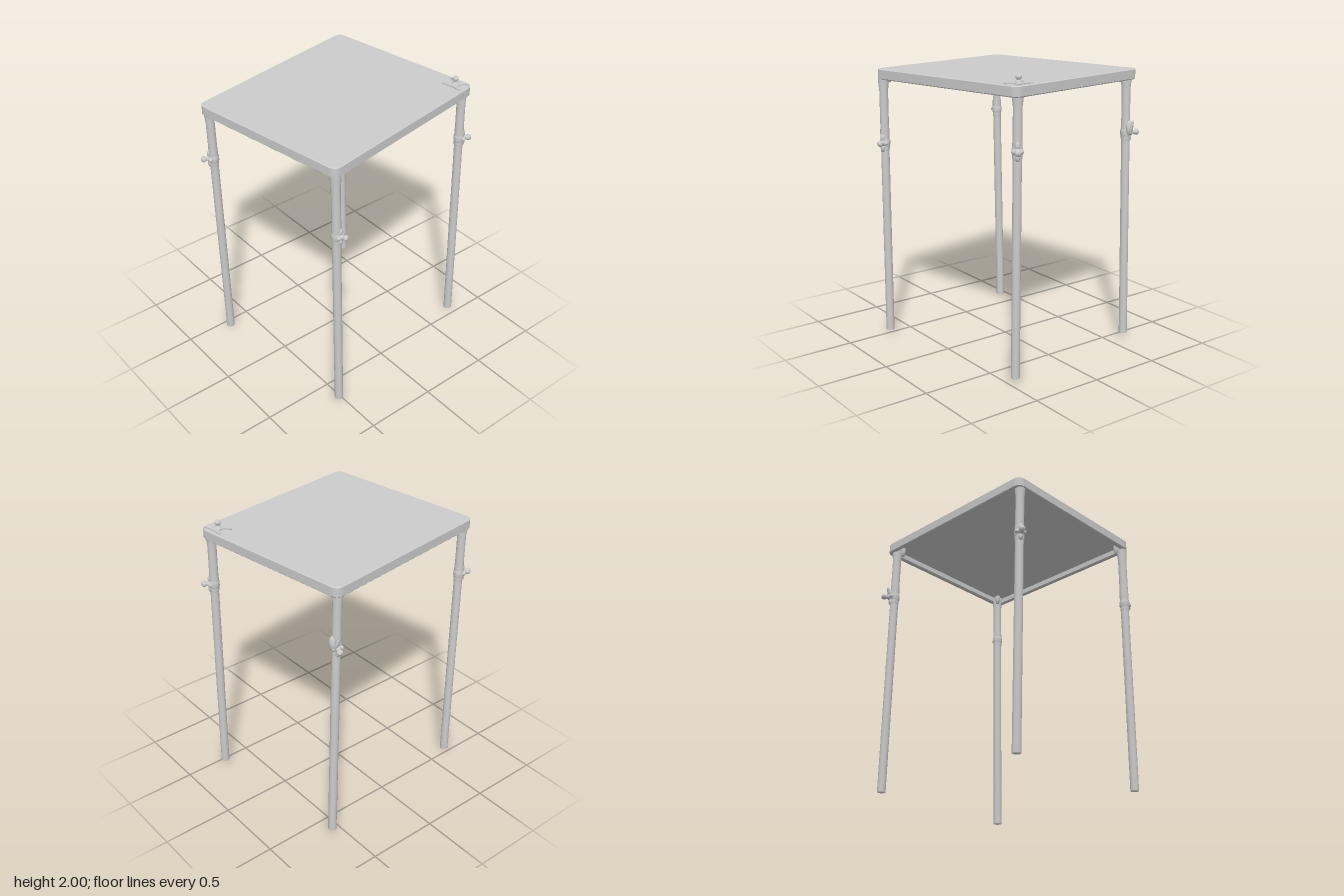
import * as THREE from 'three';
import { toCreasedNormals } from 'three/addons/utils/BufferGeometryUtils.js';

const V = (x, y, z) => new THREE.Vector3(x, y, z);
const UP = V(0, 1, 0);

// Table corners (x, z) and the leg below each one
const legs = [
  { name: 'backLeftLeg', corner: [0.482, -0.758], top: [0.432, -0.706], foot: [0.452, 0.035, -0.715], knob: [0.472, 1.535, -0.762] },
  { name: 'backRightLeg', corner: [-0.695, -0.575], top: [-0.633, -0.522], foot: [-0.633, 0.035, -0.57], knob: [-0.703, 1.495, -0.562], wing: true },
  { name: 'frontRightLeg', corner: [-0.49, 0.762], top: [-0.445, 0.712], foot: [-0.453, 0, 0.672], knob: [-0.472, 1.5, 0.765] },
  { name: 'frontLeftLeg', corner: [0.685, 0.573], top: [0.642, 0.538], foot: [0.657, 0.018, 0.522], knob: [0.7, 1.405, 0.507] },
];

// Slight slope of the table top
const tilt = (x, z) => 0.004 * x - 0.018 * z;

// Outline of the table top, shrunk by inset, with rounded corners
function outline(inset, r, Type) {
  const k = 1 - inset / 0.66;
  const pts = legs.map((l) => new THREE.Vector2(l.corner[0] * k, -l.corner[1] * k));
  const s = new Type();
  pts.forEach((p, i) => {
    const prev = pts[(i + 3) % 4], next = pts[(i + 1) % 4];
    const a = p.clone().add(prev.clone().sub(p).setLength(r));
    const b = p.clone().add(next.clone().sub(p).setLength(r));
    if (i === 0) s.moveTo(a.x, a.y); else s.lineTo(a.x, a.y);
    s.quadraticCurveTo(p.x, p.y, b.x, b.y);
  });
  s.closePath();
  return s;
}

// Horizontal slab from y0 to y1 with small chamfers, following the slope
function slab(shape, y0, y1, bevel) {
  const g = new THREE.ExtrudeGeometry(shape, {
    depth: y1 - y0 - 2 * bevel, bevelSize: bevel, bevelThickness: bevel,
    bevelOffset: -bevel, bevelSegments: 1, curveSegments: 8,
  });
  g.rotateX(-Math.PI / 2);
  g.translate(0, y0 + bevel, 0);
  const p = g.attributes.position;
  for (let i = 0; i < p.count; i++) p.setY(i, p.getY(i) + tilt(p.getX(i), p.getZ(i)));
  return toCreasedNormals(g, 0.6);
}

export function createModel() {
  const root = new THREE.Group();
  const grey = new THREE.MeshStandardMaterial({ color: 0xcccccc });
  grey.name = 'plain grey';

  const add = (parent, name, geo, pos) => {
    const m = new THREE.Mesh(geo, grey);
    m.name = name;
    if (pos) m.position.copy(pos);
    parent.add(m);
    return m;
  };
  // Lathe-turned rod from a to b; profile is [radius, fraction along]
  const rod = (parent, name, a, b, profile) => {
    const d = b.clone().sub(a), len = d.length();
    const pts = profile.map(([r, t]) => new THREE.Vector2(r, t * len));
    const m = add(parent, name, new THREE.LatheGeometry(pts, 18), a);
    m.quaternion.setFromUnitVectors(UP, d.normalize());
    return m;
  };
  const knobProfile = [[0, 0], [0.022, 0], [0.022, 0.45], [0.013, 0.52], [0.013, 0.62], [0.02, 0.7], [0.022, 0.82], [0.015, 0.96], [0, 1]];

  // Thin panel covering the top, with a rim hanging round its edge
  add(root, 'tablePanel', slab(outline(0, 0.06, THREE.Shape), 1.897, 1.927, 0.006));
  const rim = outline(0, 0.06, THREE.Shape);
  rim.holes.push(outline(0.036, 0.05, THREE.Path));
  add(root, 'tableRim', slab(rim, 1.855, 1.922, 0.006));

  for (const l of legs) {
    const g = new THREE.Group();
    g.name = l.name;
    root.add(g);
    const top = V(l.top[0], 1.895 + tilt(...l.top), l.top[1]);
    const foot = V(...l.foot);
    const ky = l.knob[1];
    const at = (y) => foot.clone().lerp(top, (y - foot.y) / (top.y - foot.y));

    // Lower tube and sleeve with a flared neck
    rod(g, 'tube', foot, at(ky), [[0, 0], [0.029, 0], [0.029, 1]]);
    rod(g, 'sleeve', at(ky - 0.06), top, [[0.027, 0], [0.032, 0.03], [0.032, 0.25], [0.03, 0.33], [0.03, 0.77], [0.036, 0.89], [0.036, 1]]);

    // Clamp collar and its outward tightening knob
    const c = at(ky);
    rod(g, 'collar', at(ky - 0.03), at(ky + 0.03), [[0.03, 0], [0.036, 0.25], [0.036, 0.75], [0.03, 1]]);
    const tip = V(...l.knob);
    const out = tip.clone().sub(c).normalize();
    rod(g, 'clampKnob', c, tip.clone().addScaledVector(out, 0.02), knobProfile);

    // Cross lever of the clamp
    const side = V(out.z, 0, -out.x).normalize();
    const hub = c.clone().addScaledVector(out, 0.026);
    for (const s of [-1, 1]) {
      add(g, 'clampLobe', new THREE.SphereGeometry(0.016, 12, 8), hub.clone().addScaledVector(side, s * 0.024));
      add(g, 'clampLug', new THREE.SphereGeometry(0.016, 12, 8), hub.clone().add(V(0, s * 0.035, 0))).scale.y = 1.8;
    }
    if (l.wing) {
      // Larger bent lever on the back corner
      const plate = add(g, 'clampWing', new THREE.SphereGeometry(0.03, 14, 10), V(-0.635, 1.53, -0.568));
      plate.scale.set(0.9, 1.7, 0.6);
      rod(g, 'wingTip', V(-0.65, 1.49, -0.56), V(-0.683, 1.575, -0.55), [[0, 0], [0.016, 0.05], [0.01, 0.9], [0, 1]]);
    }

    // Fixing screw beneath the inside corner
    const inward = V(-l.top[0], 0, -l.top[1]).normalize();
    const fix = top.clone().addScaledVector(inward, 0.04);
    rod(g, 'cornerScrew', fix, fix.clone().add(V(0, -0.065, 0)), [[0.02, 0], [0.02, 0.5], [0.014, 0.6], [0.014, 0.9], [0, 1]]);
  }

  // Loose fitting lying on the table's back corner, with a round bite at each end
  const fitting = new THREE.Group();
  fitting.name = 'topFitting';
  fitting.position.set(0.4, 1.939, -0.672);
  fitting.rotation.y = 0.12;
  root.add(fitting);
  const s = new THREE.Shape();
  s.moveTo(-0.07, 0.056);
  s.quadraticCurveTo(0, 0.038, 0.07, 0.056);
  s.lineTo(0.08, 0.038);
  s.bezierCurveTo(0.02, 0.045, 0.02, -0.045, 0.08, -0.038);
  s.lineTo(0.07, -0.056);
  s.quadraticCurveTo(0, -0.038, -0.07, -0.056);
  s.lineTo(-0.08, -0.038);
  s.bezierCurveTo(-0.02, -0.045, -0.02, 0.045, -0.08, 0.038);
  s.closePath();
  const plate = new THREE.ExtrudeGeometry(s, { depth: 0.01, bevelEnabled: false, curveSegments: 8 });
  plate.rotateX(-Math.PI / 2);
  add(fitting, 'fittingPlate', plate);
  rod(fitting, 'fittingKnob', V(0, 0, 0), V(0, 0.061, 0), [[0.026, 0], [0.02, 0.3], [0.012, 0.4], [0.012, 0.5], [0.02, 0.62], [0.02, 0.82], [0.012, 0.97], [0, 1]]);

  return root;
}
